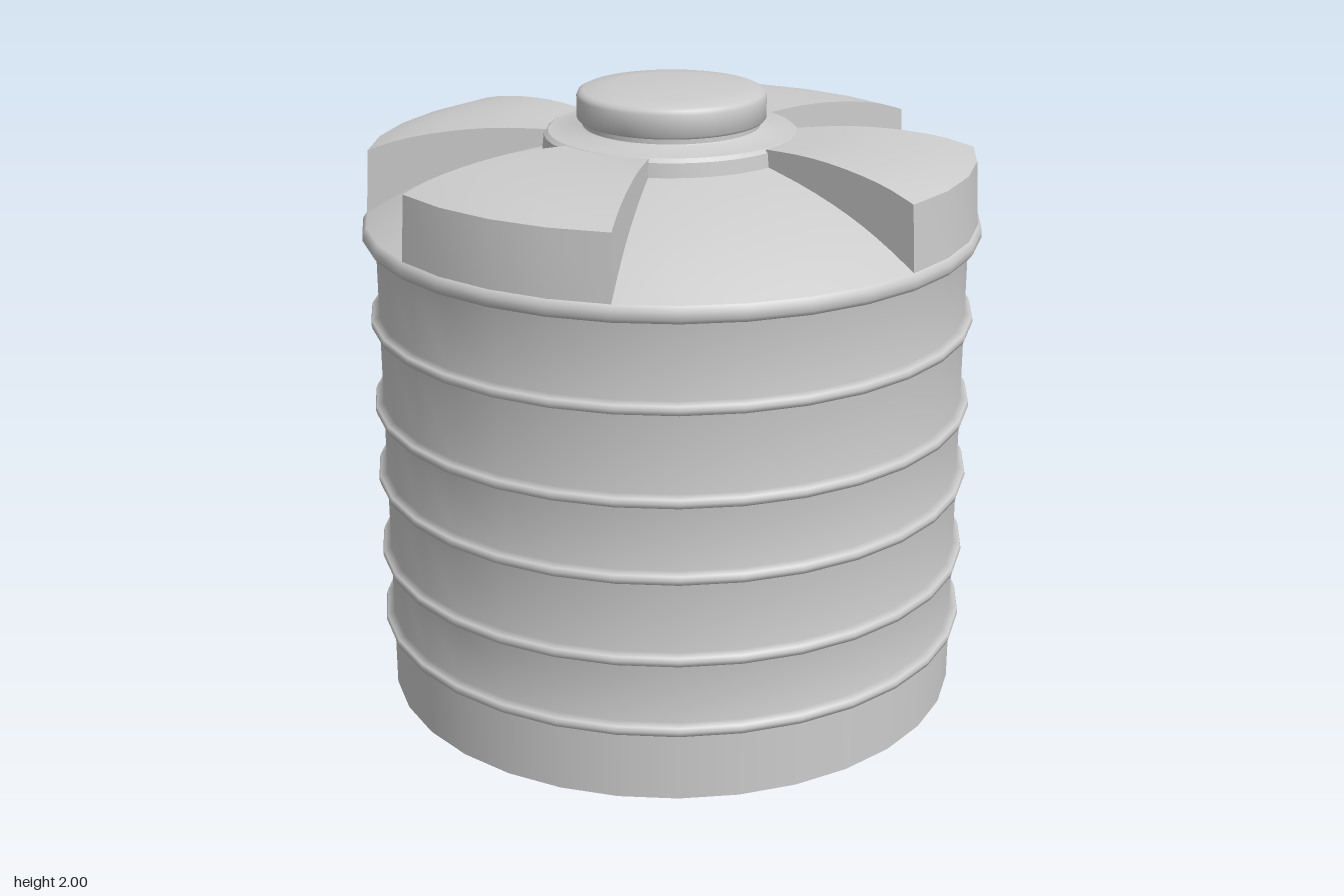
import * as THREE from 'three';
import { toCreasedNormals } from 'three/addons/utils/BufferGeometryUtils.js';

const SIDES = 32;
const STEP = (Math.PI * 2) / SIDES;
const material = new THREE.MeshStandardMaterial({ color: 0xcccccc, side: THREE.DoubleSide });

const toPoints = (profile) => profile.map(([r, y]) => new THREE.Vector2(r, y));

function makeMesh(name, geometry) {
  const mesh = new THREE.Mesh(geometry, material);
  mesh.name = name;
  return mesh;
}

// Smooth curve through a few profile points
const curved = (points, n) =>
  new THREE.SplineCurve(toPoints(points)).getPoints(n).map((p) => [p.x, p.y]);

export function createModel() {
  const tank = new THREE.Group();
  tank.name = 'waterTank';

  // Body wall with five narrow ribs and a rounded rim at the shoulder
  const wall = 0.945;
  const bodyProfile = [[wall, 0], [wall, 0.215]];
  for (const y of [0.24, 0.475, 0.742, 0.985, 1.272]) {
    bodyProfile.push([wall, y - 0.022], [0.968, y - 0.014], [0.972, y], [0.968, y + 0.014], [wall, y + 0.022]);
  }
  bodyProfile.push([wall, 1.528], [0.975, 1.534], [0.985, 1.548], [0.985, 1.57], [0.975, 1.585], [0.965, 1.59]);
  tank.add(makeMesh('body', new THREE.LatheGeometry(toPoints(bodyProfile), SIDES)));

  // Flat underside
  const base = new THREE.CircleGeometry(wall, SIDES);
  base.rotateX(Math.PI / 2);
  tank.add(makeMesh('base', base));

  // Domed roof, visible between the raised blocks
  const roofProfile = curved([[0.972, 1.587], [0.85, 1.655], [0.72, 1.713], [0.56, 1.765], [0.39, 1.805]], 10);
  tank.add(makeMesh('roof', new THREE.LatheGeometry(toPoints(roofProfile), SIDES)));

  // Four raised roof blocks, each four sides wide, with a domed top
  const topProfile = curved([[0.96, 1.79], [0.85, 1.825], [0.7, 1.85], [0.55, 1.86], [0.395, 1.855]], 10);
  const blockProfile = [[0.972, 1.585], ...topProfile];
  const endShape = new THREE.Shape(toPoints([...blockProfile, [0.395, 1.76]]));
  for (const start of [2, 9, 18, 25]) {
    const block = new THREE.Group();
    block.name = 'roofBlock';
    const shell = new THREE.LatheGeometry(toPoints(blockProfile), 4, start * STEP, 4 * STEP);
    block.add(makeMesh('blockShell', toCreasedNormals(shell, 0.6)));
    for (const edge of [start, start + 4]) {
      const end = new THREE.ShapeGeometry(endShape);
      end.rotateY(edge * STEP - Math.PI / 2);
      block.add(makeMesh('blockEnd', end));
    }
    tank.add(block);
  }

  // Collar and neck around the opening
  const collarProfile = [[0.41, 1.785], [0.403, 1.845], [0.39, 1.857], [0.285, 1.868], [0.28, 1.872], [0.28, 1.9]];
  tank.add(makeMesh('collar', toCreasedNormals(new THREE.LatheGeometry(toPoints(collarProfile), 64), 0.6)));

  // Lid with a rounded shoulder and slightly domed top
  const lidProfile = [[0.27, 1.89], [0.292, 1.89], [0.299, 1.898], [0.299, 1.965], [0.294, 1.977], [0.28, 1.984],
    [0.2, 1.993], [0.1, 1.998], [0, 2]];
  tank.add(makeMesh('lid', toCreasedNormals(new THREE.LatheGeometry(toPoints(lidProfile), 64), 0.8)));

  return tank;
}
